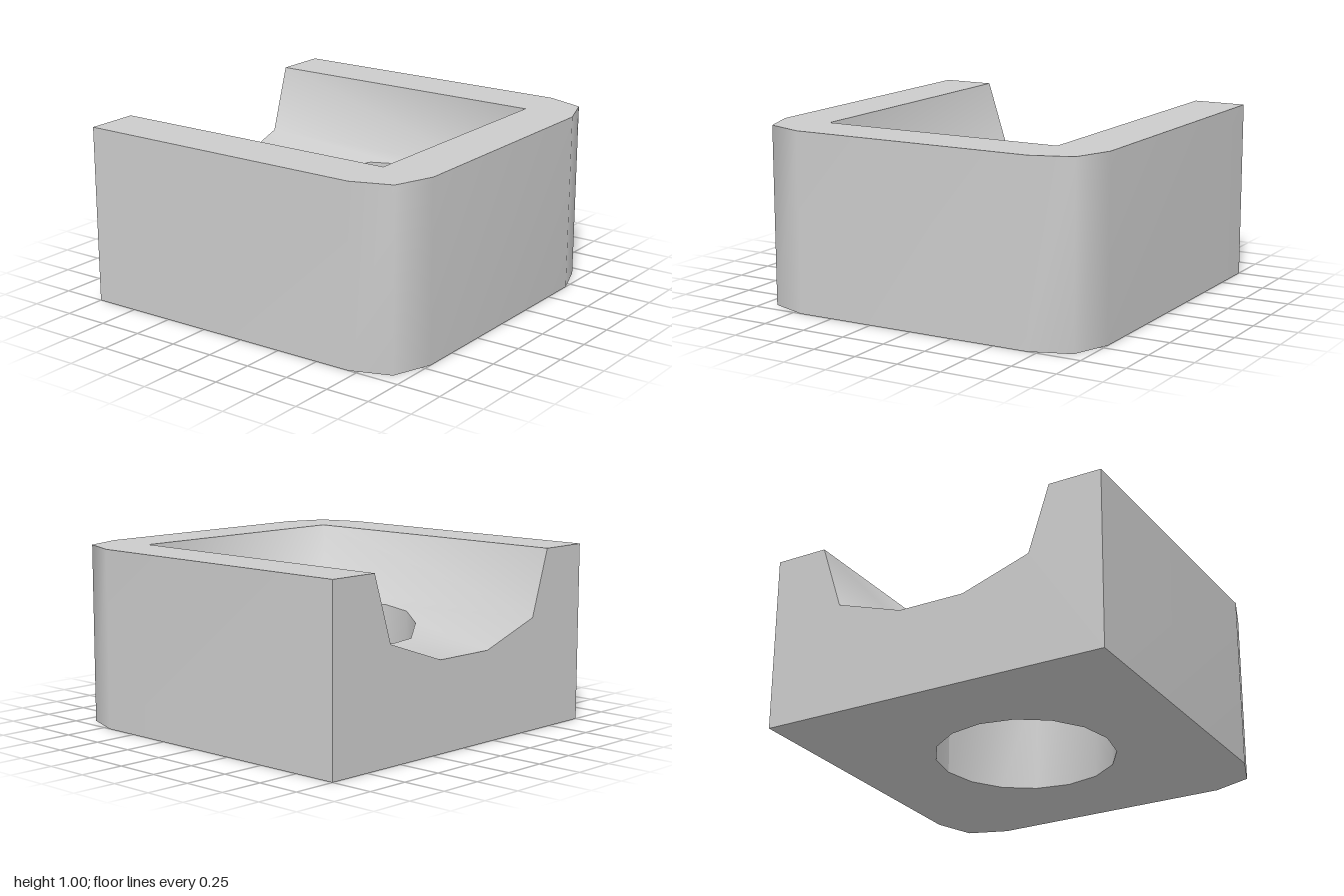
import * as THREE from 'three';
import { mergeGeometries, mergeVertices } from 'three/addons/utils/BufferGeometryUtils.js';

const material = new THREE.MeshStandardMaterial({ color: 0xcccccc });
const SIDES = 16;
const RIM = 0.7, FLOOR = 0.58;

// Bore outline as [x, z]
const bore = Array.from({ length: SIDES }, (_, i) => {
  const a = (i / SIDES) * Math.PI * 2;
  return [0.5 * Math.cos(a), 0.5 * Math.sin(a)];
});
const FLAT = bore[13][0];

// Cavity height: flat centre, gentle slope, steep wall, mitred at the front corners
function height(x, z) {
  const t = Math.max(Math.abs(x), z, FLAT);
  return t <= FLOOR
    ? THREE.MathUtils.mapLinear(t, FLAT, FLOOR, 0.5, 0.63)
    : THREE.MathUtils.mapLinear(t, FLOOR, RIM, 0.63, 1);
}

const shape = (points) => new THREE.Shape(points.map(([u, v]) => new THREE.Vector2(u, v)));

// Upward-facing polygon of [x, z] points
const upward = (points) =>
  new THREE.ShapeGeometry(shape(points.map(([x, z]) => [x, -z]))).rotateX(-Math.PI / 2);

// Vertical band along [x, z] points, from the ground up to top(x, z)
function band(points, top) {
  const position = [], index = [];
  points.forEach(([x, z], i) => {
    position.push(x, 0, z, x, top(x, z), z);
    const a = 2 * i;
    if (i < points.length - 1) index.push(a, a + 2, a + 3, a, a + 3, a + 1);
  });
  const geometry = new THREE.BufferGeometry();
  geometry.setAttribute('position', new THREE.Float32BufferAttribute(position, 3));
  geometry.setIndex(index);
  geometry.computeVertexNormals();
  return geometry;
}

// Cavity patches, raised to height and smoothed together
function cavityGeometry() {
  const mirror = (points) => points.map(([x, z]) => [-x, z]);
  const pick = (...ids) => ids.map((i) => bore[i]);
  const slope = [[FLAT, -1], [FLOOR, -1], [FLOOR, FLOOR], ...pick(2, 1, 0, 15, 14, 13)];
  const wall = [[FLOOR, -1], [RIM, -1], [RIM, RIM], [FLOOR, FLOOR]];
  const patches = [
    slope, mirror(slope), wall, mirror(wall),
    [[-FLAT, -1], [FLAT, -1], ...pick(13, 12, 11)],
    [[FLOOR, FLOOR], [-FLOOR, FLOOR], ...pick(6, 5, 4, 3, 2)],
    [[FLOOR, FLOOR], [RIM, RIM], [-RIM, RIM], [-FLOOR, FLOOR]],
  ].map(upward);
  let geometry = mergeGeometries(patches);
  geometry.deleteAttribute('uv');
  geometry.deleteAttribute('normal');
  const p = geometry.attributes.position;
  for (let i = 0; i < p.count; i++) p.setY(i, height(p.getX(i), p.getZ(i)));
  geometry = mergeVertices(geometry, 1e-4);
  geometry.computeVertexNormals();
  return geometry;
}

export function createModel() {
  const group = new THREE.Group();
  group.name = 'cradleBlock';
  const add = (name, geometry) => {
    const mesh = new THREE.Mesh(geometry, material);
    mesh.name = name;
    group.add(mesh);
  };

  // Outer sides, with rounded front corners
  const outline = [[-1, -1], [-1, 0.7], [-0.92, 0.92], [-0.7, 1],
    [0.7, 1], [0.92, 0.92], [1, 0.7], [1, -1]];
  add('outerWall', band(outline, () => 1));

  // U-shaped top
  const inner = [[RIM, -1], [RIM, RIM], [-RIM, RIM], [-RIM, -1]];
  add('topRim', upward([...outline, ...inner]).translate(0, 1, 0));

  // Back face with the notch of the cavity
  const notch = [RIM, FLOOR, FLAT, -FLAT, -FLOOR, -RIM].map((x) => [x, height(x, -1)]);
  add('backFace', new THREE.ShapeGeometry(shape([[-1, 1], [-1, 0], [1, 0], [1, 1], ...notch]))
    .rotateY(Math.PI).translate(0, 0, -1));

  // Underside with the bore opening
  const base = shape(outline);
  base.holes.push(new THREE.Path(bore.map(([x, z]) => new THREE.Vector2(x, z))));
  add('underside', new THREE.ShapeGeometry(base).rotateX(Math.PI / 2));

  // Hollow and the bore through its floor
  add('cavity', cavityGeometry());
  add('boreWall', band([...bore, bore[0]], height));

  return group;
}
